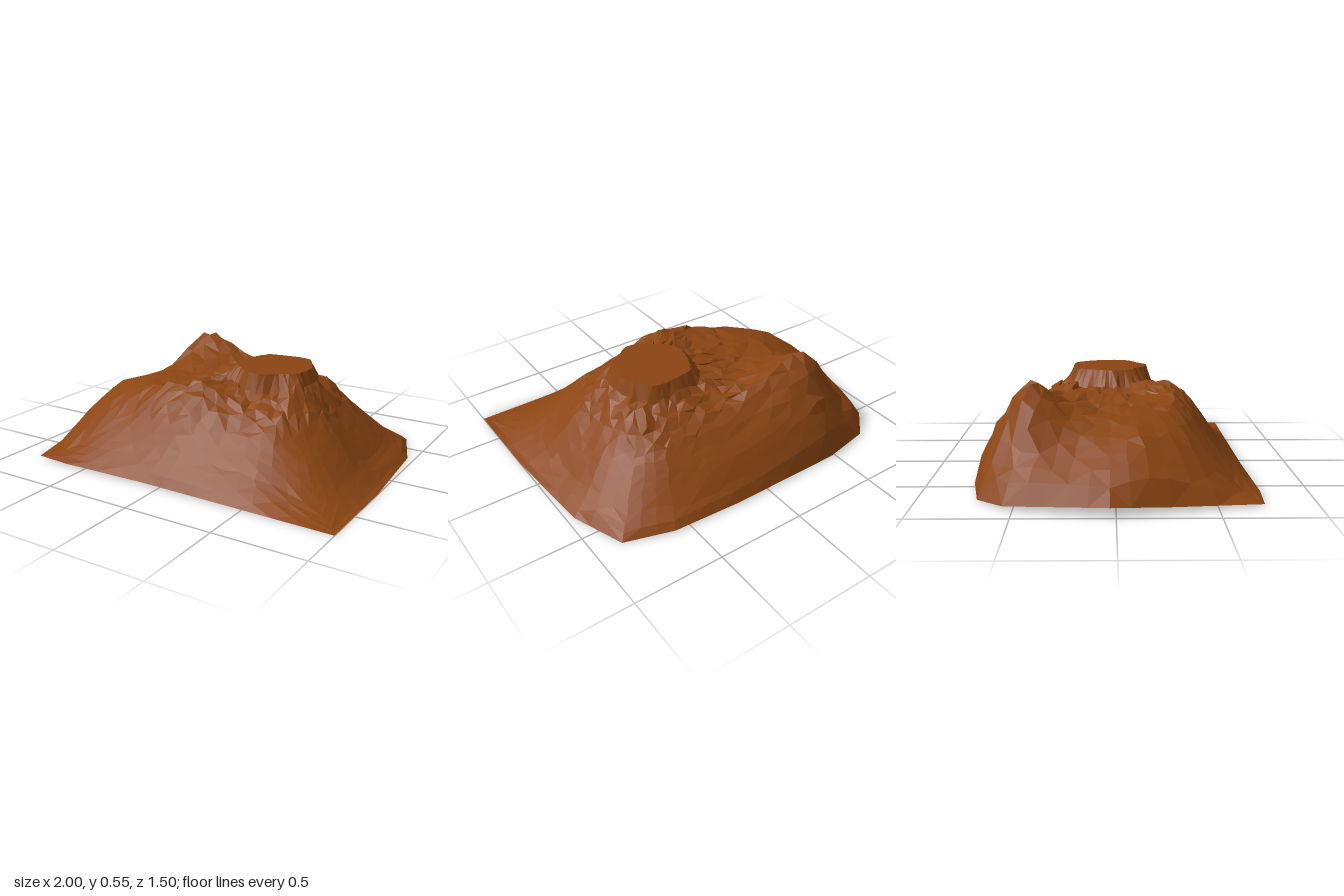
import * as THREE from 'three';

// Footprint corners [x, y, z], running from +x round to +z
const OUTLINE = [
  [1, 0, 0.2], [1, 0, 0.73], [-0.1, 0.01, 0.73], [-0.62, 0.01, 0.745], [-0.83, 0.01, 0.73],
  [-0.93, 0.03, 0.27], [-1, 0.05, -0.03], [-0.88, 0.02, -0.55], [-0.75, 0.01, -0.69],
  [-0.47, 0.01, -0.745], [0.2, 0.01, -0.75], [0.59, 0.01, -0.73], [0.85, 0, -0.64], [0.96, 0, -0.35],
];

// Survey heights: one row per z, one column per x
const XS = [-1, -0.85, -0.7, -0.55, -0.43, -0.2, 0, 0.25, 0.5, 0.7, 0.85, 0.96];
const ZS = [-0.75, -0.69, -0.62, -0.52, -0.44, -0.25, -0.08, 0.12, 0.33, 0.42, 0.6, 0.74];
const HEIGHTS = [
  [0.02, 0.02, 0.03, 0.05, 0.06, 0.05, 0.04, 0.03, 0.02, 0.01, 0.01, 0],
  [0.02, 0.04, 0.07, 0.14, 0.20, 0.15, 0.12, 0.09, 0.06, 0.03, 0.01, 0],
  [0.03, 0.07, 0.13, 0.27, 0.34, 0.27, 0.22, 0.18, 0.12, 0.06, 0.02, 0],
  [0.04, 0.10, 0.20, 0.41, 0.49, 0.38, 0.32, 0.27, 0.22, 0.12, 0.04, 0.01],
  [0.04, 0.12, 0.27, 0.51, 0.58, 0.46, 0.39, 0.35, 0.29, 0.17, 0.06, 0.01],
  [0.05, 0.15, 0.25, 0.39, 0.43, 0.41, 0.43, 0.48, 0.43, 0.24, 0.08, 0.01],
  [0.06, 0.20, 0.29, 0.36, 0.38, 0.40, 0.44, 0.49, 0.47, 0.24, 0.08, 0.01],
  [0.06, 0.22, 0.335, 0.375, 0.39, 0.41, 0.45, 0.48, 0.48, 0.26, 0.09, 0.01],
  [0.04, 0.13, 0.25, 0.33, 0.36, 0.44, 0.48, 0.39, 0.34, 0.20, 0.08, 0.01],
  [0.03, 0.09, 0.19, 0.26, 0.29, 0.37, 0.41, 0.32, 0.27, 0.17, 0.07, 0.01],
  [0.01, 0.02, 0.06, 0.10, 0.12, 0.14, 0.16, 0.14, 0.11, 0.06, 0.03, 0],
  [0.01, 0.01, 0.01, 0.01, 0.01, 0.01, 0.01, 0.01, 0, 0, 0, 0],
];
const PLATEAU = { x: 0.27, y: 0.53, z: -0.03, radius: 0.212 };
const RINGS = 16;

function seededRandom(seed) {
  return () => {
    seed = (seed * 16807) % 2147483647;
    return seed / 2147483647 - 0.5;
  };
}

// Cell index and fraction of a value along an axis
function locate(axis, value) {
  let i = 0;
  while (i < axis.length - 2 && value > axis[i + 1]) i++;
  return [i, THREE.MathUtils.clamp((value - axis[i]) / (axis[i + 1] - axis[i]), 0, 1)];
}

function heightAt(x, z) {
  const [i, u] = locate(XS, x);
  const [j, v] = locate(ZS, z);
  const { lerp } = THREE.MathUtils;
  return lerp(lerp(HEIGHTS[j][i], HEIGHTS[j][i + 1], u), lerp(HEIGHTS[j + 1][i], HEIGHTS[j + 1][i + 1], u), v);
}

// Footprint edge divided into short steps
function footprint() {
  const points = [];
  OUTLINE.forEach((corner, i) => {
    const a = new THREE.Vector3(...corner);
    const b = new THREE.Vector3(...OUTLINE[(i + 1) % OUTLINE.length]);
    const steps = Math.ceil(a.distanceTo(b) / 0.12);
    for (let s = 0; s < steps; s++) points.push(a.clone().lerp(b, s / steps));
  });
  return points;
}

function buildMesh(name, positions, indices, material) {
  const geometry = new THREE.BufferGeometry();
  geometry.setAttribute('position', new THREE.Float32BufferAttribute(positions, 3));
  geometry.setIndex(indices);
  const flat = geometry.toNonIndexed();
  flat.computeVertexNormals();
  const mesh = new THREE.Mesh(flat, material);
  mesh.name = name;
  return mesh;
}

// Flat fan closing a loop of points
function buildFan(name, centre, loop, up, material) {
  const positions = [...centre, ...loop.flatMap((p) => p.toArray())];
  const indices = [];
  loop.forEach((_, i) => {
    const a = i + 1, b = ((i + 1) % loop.length) + 1;
    indices.push(0, up ? b : a, up ? a : b);
  });
  return buildMesh(name, positions, indices, material);
}

export function createModel() {
  const group = new THREE.Group();
  group.name = 'mountain';
  const rock = new THREE.MeshStandardMaterial({ color: 0x8b4513 });
  rock.name = 'brown rock';
  const random = seededRandom(4711);
  const edge = footprint();
  const count = edge.length;

  // Plateau rim, one point in line with each edge point
  const rim = edge.map((p) => {
    const angle = Math.atan2(p.z - PLATEAU.z, p.x - PLATEAU.x);
    const r = PLATEAU.radius * (1 + 0.04 * Math.sin(angle * 5) + 0.08 * random());
    return new THREE.Vector3(PLATEAU.x + r * Math.cos(angle), PLATEAU.y, PLATEAU.z + r * Math.sin(angle));
  });

  // Rings of terrain from the rim to the footprint, roughest near the top
  const rings = [rim];
  for (let k = 1; k < RINGS; k++) {
    rings.push(rim.map((p, i) => {
      const q = p.clone().lerp(edge[i], k / RINGS);
      const near = Math.hypot(q.x - PLATEAU.x, q.z - PLATEAU.z);
      const crag = THREE.MathUtils.smoothstep(heightAt(q.x, q.z), 0.22, 0.4) * (near < 0.5 ? 1 : 0.6);
      const shift = k > 1 && k < RINGS - 1 ? 0.014 + 0.024 * crag : 0;
      q.x += random() * shift;
      q.z += random() * shift;
      q.y = heightAt(q.x, q.z) + random() * (0.004 + 0.026 * crag);
      q.y = Math.min(q.y, near < 0.5 ? 0.52 : 0.56);
      return q;
    }));
  }
  rings.push(edge);

  const positions = rings.flatMap((ring) => ring.flatMap((p) => p.toArray()));
  const indices = [];
  for (let k = 0; k < RINGS; k++) {
    for (let i = 0; i < count; i++) {
      const j = (i + 1) % count;
      const a = k * count + i, b = k * count + j;
      const c = a + count, d = b + count;
      if ((i + k) % 2) indices.push(a, b, c, b, d, c);
      else indices.push(a, b, d, a, d, c);
    }
  }
  group.add(buildMesh('slopes', positions, indices, rock));
  group.add(buildFan('plateau', [PLATEAU.x, PLATEAU.y, PLATEAU.z], rim, true, rock));
  group.add(buildFan('underside', [0, 0.005, 0], edge, false, rock));
  return group;
}
